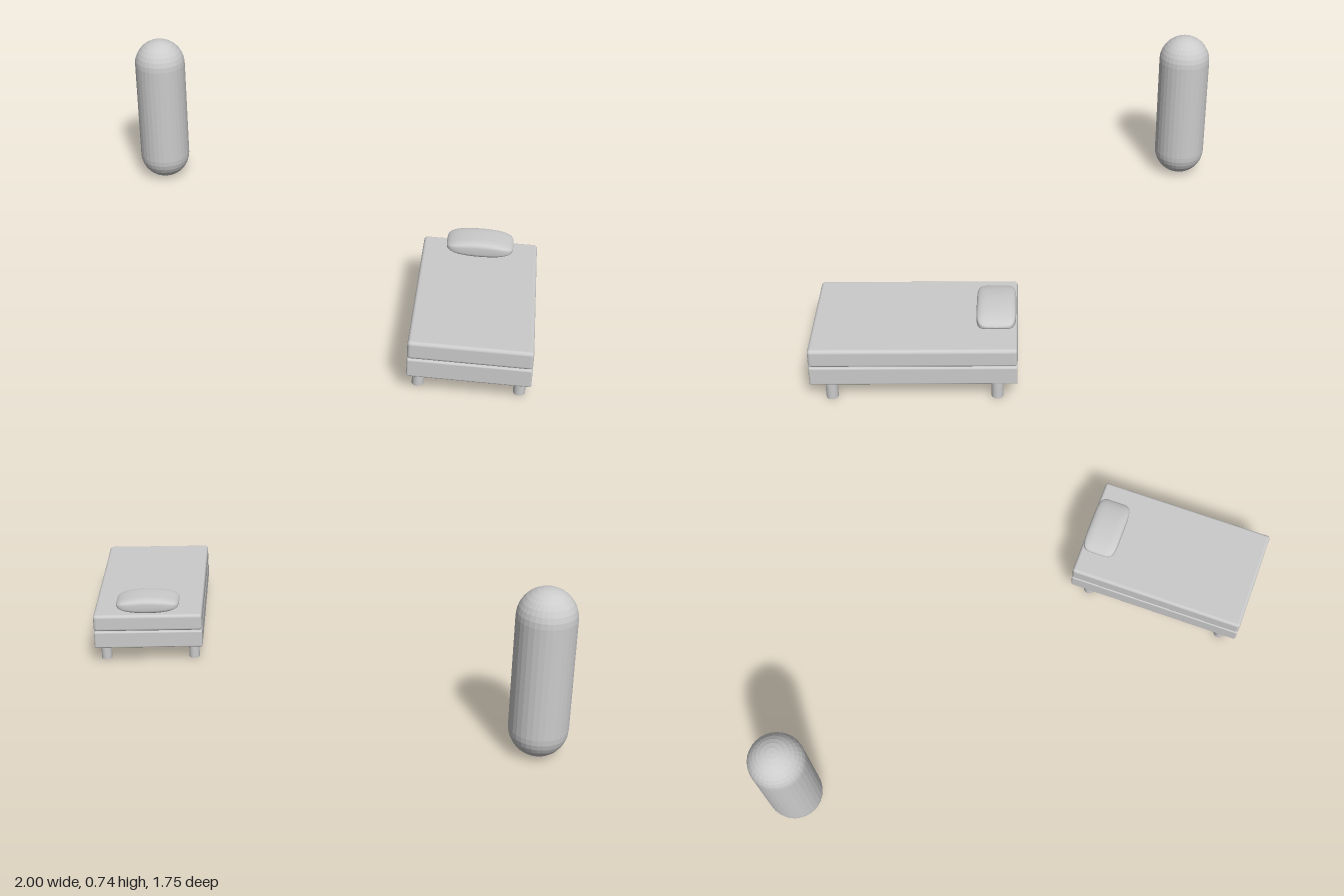
import * as THREE from 'three';
import { RoundedBoxGeometry } from 'three/addons/geometries/RoundedBoxGeometry.js';

const grey = new THREE.MeshStandardMaterial({ color: 0xcccccc });
const facetedGrey = new THREE.MeshStandardMaterial({ color: 0xcccccc, flatShading: true });

function part(name, geometry, x, y, z, material = grey) {
  const mesh = new THREE.Mesh(geometry, material);
  mesh.name = name;
  mesh.position.set(x, y, z);
  return mesh;
}

// Cushion: lens-shaped from the front, rounded rectangle from the side and top
function pillowGeometry(halfX, halfY, halfZ) {
  const geometry = new THREE.SphereGeometry(1, 40, 32);
  geometry.rotateZ(Math.PI / 2);
  const pos = geometry.attributes.position;
  const soften = (v) => Math.sign(v) * Math.pow(Math.abs(v), 0.5);
  for (let i = 0; i < pos.count; i++) {
    const u = THREE.MathUtils.clamp(pos.getX(i), -1, 1);
    const y = pos.getY(i), z = pos.getZ(i);
    const r = Math.hypot(y, z) || 1;
    const height = Math.sqrt(1 - u * u);
    const width = Math.pow(Math.max(0, 1 - Math.pow(Math.abs(u), 5)), 0.2);
    pos.setXYZ(i, halfX * u, halfY * height * soften(y / r), halfZ * width * soften(z / r));
  }
  geometry.computeVertexNormals();
  return geometry;
}

export function createModel() {
  const model = new THREE.Group();
  model.name = 'bedAndCapsule';

  // Bed
  const bed = new THREE.Group();
  bed.name = 'bed';
  bed.position.set(0.754, 0, 0.468);
  bed.add(part('bedBase', new RoundedBoxGeometry(0.49, 0.082, 0.814, 4, 0.008), 0, 0.126, 0));
  bed.add(part('mattress', new RoundedBoxGeometry(0.49, 0.079, 0.814, 5, 0.014), 0, 0.2075, 0));
  bed.add(part('pillow', pillowGeometry(0.142, 0.037, 0.079), 0, 0.283, -0.323));

  // Four round legs
  const legGeometry = new THREE.CylinderGeometry(0.024, 0.024, 0.09, 24);
  for (const sx of [-1, 1]) {
    for (const sz of [-1, 1]) {
      const name = (sz > 0 ? 'front' : 'back') + (sx > 0 ? 'Left' : 'Right') + 'Leg';
      bed.add(part(name, legGeometry, sx * 0.202, 0.045, sz * 0.327));
    }
  }
  model.add(bed);

  // Standing capsule
  const radius = 0.122, height = 0.735;
  const capsule = new THREE.CapsuleGeometry(radius, height - 2 * radius, 8, 32);
  model.add(part('capsule', capsule, -0.878, height / 2, -0.756, facetedGrey));

  return model;
}
